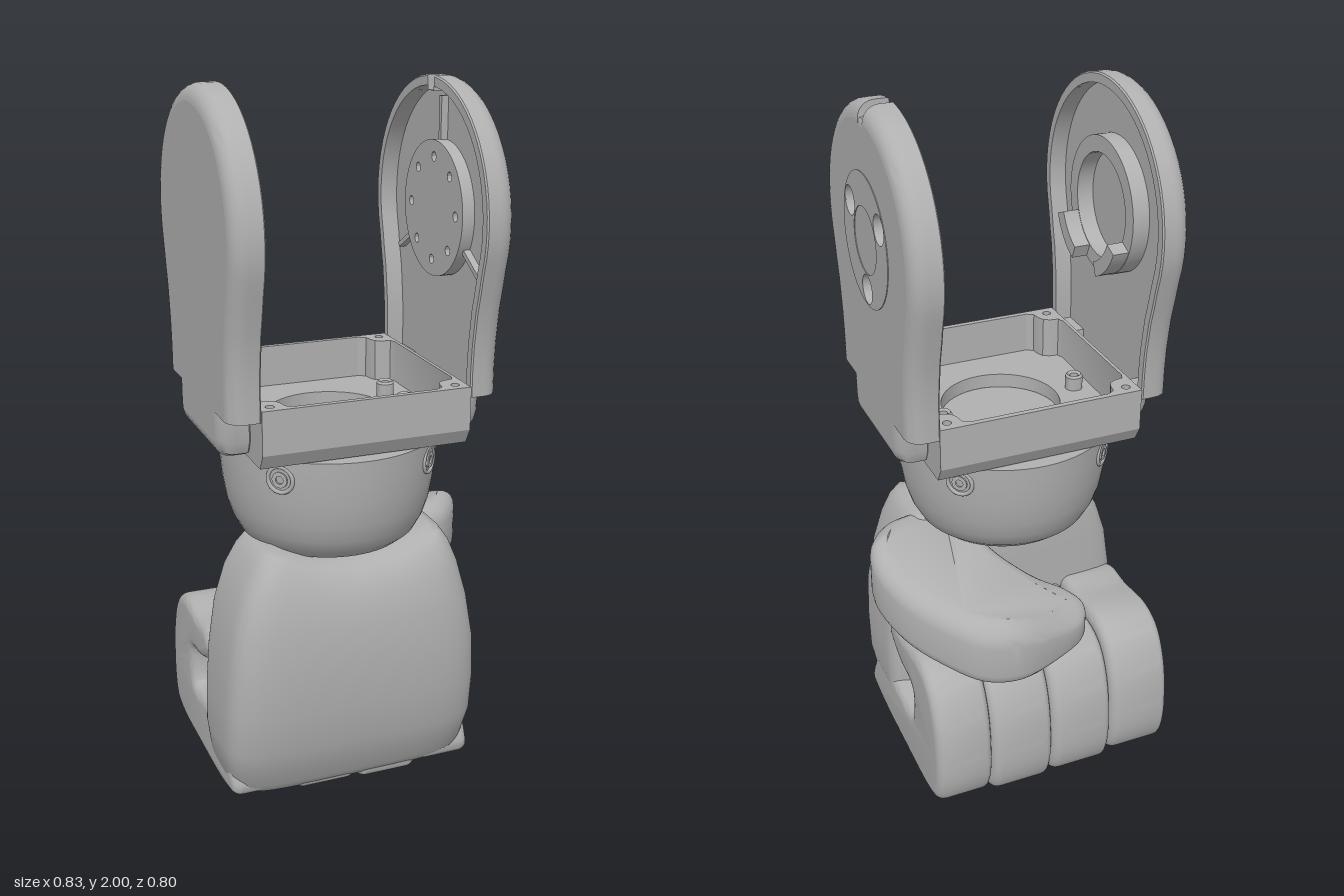
import * as THREE from 'three';
import { toCreasedNormals } from 'three/addons/utils/BufferGeometryUtils.js';

const grey = new THREE.MeshStandardMaterial({ color: 0xb0b0b0, side: THREE.DoubleSide });
grey.name = 'matte grey';

const V2 = (x, y) => new THREE.Vector2(x, y);

function add(parent, name, geometry, x = 0, y = 0, z = 0) {
  const mesh = new THREE.Mesh(geometry, grey);
  mesh.name = name;
  mesh.position.set(x, y, z);
  parent.add(mesh);
  return mesh;
}

// Closed skin through equal-sized rings of points
function loft(rings, crease = 0.7) {
  const n = rings[0].length, index = [];
  for (let i = 0; i < rings.length - 1; i++) {
    for (let j = 0; j < n; j++) {
      const a = i * n + j, b = i * n + (j + 1) % n;
      index.push(a, b, b + n, a, b + n, a + n);
    }
  }
  const g = new THREE.BufferGeometry().setFromPoints(rings.flat());
  g.setIndex(index);
  return toCreasedNormals(g, crease);
}

// Smooth closed outline through a few points
function smoothShape(points, count) {
  const curve = new THREE.CatmullRomCurve3(points.map(([x, y]) => new THREE.Vector3(x, y, 0)), true);
  return new THREE.Shape(curve.getPoints(count).slice(0, -1).map(p => V2(p.x, p.y)));
}

// Extrusion with rounded edges that keeps the outline and total depth
function roundedExtrude(shape, depth, r) {
  return new THREE.ExtrudeGeometry(shape, {
    depth: depth - 2 * r, bevelThickness: r, bevelSize: r, bevelOffset: -r, bevelSegments: 5, curveSegments: 24,
  }).translate(0, 0, r);
}

// Moves each vertex by a rule
function reshape(geometry, rule) {
  const pos = geometry.attributes.position, v = new THREE.Vector3();
  for (let i = 0; i < pos.count; i++) {
    rule(v.fromBufferAttribute(pos, i));
    pos.setXYZ(i, v.x, v.y, v.z);
  }
  return geometry;
}

function plain(shape, depth) {
  return toCreasedNormals(new THREE.ExtrudeGeometry(shape, { depth, bevelEnabled: false, curveSegments: 40 }), 0.5);
}

const circle = (x, y, r) => new THREE.Path().absarc(x, y, r, 0, Math.PI * 2, true);
function disc(r, holes = []) {
  const s = new THREE.Shape().absarc(0, 0, r, 0, Math.PI * 2);
  s.holes.push(...holes);
  return s;
}

const HUB = 1.645, SHOULDER = 1.19;
const SCREWS = [[-0.118, 0.07], [0.118, 0.07], [0, -0.135]];

// Keyhole outline of a fork arm, with the tab at its foot
function armOutline() {
  const half = [[0.15, 1.06], [0.185, 1.075], [0.2, 1.11], [0.2, SHOULDER], [0.293, SHOULDER], [0.293, 1.26],
    [0.297, 1.33], [0.31, 1.42], [0.324, 1.475], [0.335, 1.525]];
  for (let d = -12; d <= 84; d += 6) {
    const a = d * Math.PI / 180;
    half.push([0.355 * Math.cos(a), HUB + 0.355 * Math.sin(a)]);
  }
  for (const u of [0.021, 0.018]) half.push([u, HUB + Math.sqrt(0.355 ** 2 - u * u)]);
  return [...half, ...half.map(([u, v]) => [-u, v]).reverse()].map(([u, v]) => V2(u, v));
}

function buildArm(name, notched) {
  const arm = new THREE.Group();
  arm.name = name;
  const outline = armOutline(), n = outline.length;
  const normals = outline.map((p, i) => {
    const edge = (a, b) => V2(b.y - a.y, a.x - b.x).normalize();
    const n1 = edge(outline[(i + n - 1) % n], p), n2 = edge(p, outline[(i + 1) % n]);
    const mitre = n1.clone().add(n2).divideScalar(1 + n1.dot(n2));
    if (p.y === SHOULDER) mitre.y = 0; // shoulder stays flat
    return mitre;
  });
  const ring = (offset, w) => outline.map((p, i) => {
    const q = p.clone().addScaledVector(normals[i], -offset);
    const inNotch = notched && q.y > 1.85 && Math.abs(q.x) < 0.0195 * (q.y - HUB) / 0.355;
    return new THREE.Vector3(q.x, inNotch ? Math.min(q.y, 1.972) - 0.012 : q.y, w);
  });
  // Cavity wall, rim and rounded outer edge
  const profile = [[0.028, 0.05], [0.028, 0], [0.004, 0], [0, 0.004], [0, 0.04]];
  for (let i = 1; i <= 6; i++) {
    const a = i * Math.PI / 12;
    profile.push([0.045 * (1 - Math.cos(a)), 0.04 + 0.045 * Math.sin(a)]);
  }
  add(arm, name + 'Shell', loft(profile.map(([o, w]) => ring(o, w))));
  const cap = (o, holes) => {
    const s = new THREE.Shape(ring(o, 0).map(p => V2(p.x, p.y)));
    s.holes.push(...holes);
    return new THREE.ShapeGeometry(s, 24);
  };
  add(arm, name + 'CavityFloor', cap(0.028, []), 0, 0, 0.05);
  add(arm, name + 'OuterFace', cap(0.045, notched ? SCREWS.map(([u, v]) => circle(u, HUB + v, 0.04)) : []), 0, 0, 0.085);
  return arm;
}

export function createModel() {
  const model = new THREE.Group();
  model.name = 'gripperHand';

  // Back of the hand and palm: y, xMin, xMax, zBack, zFront, dip of the top edge under the wrist
  const sections = [
    [0.045, -0.3, 0.24, 0.06, 0.2, 0], [0.05, -0.37, 0.3, 0.02, 0.255, 0], [0.08, -0.395, 0.325, 0.005, 0.278, 0],
    [0.2, -0.41, 0.345, 0, 0.315, 0], [0.32, -0.408, 0.345, 0, 0.332, 0], [0.45, -0.398, 0.337, 0, 0.337, 0],
    [0.58, -0.378, 0.315, 0, 0.33, 0.01], [0.68, -0.345, 0.29, 0, 0.312, 0.035], [0.74, -0.31, 0.268, 0.005, 0.292, 0.055],
    [0.775, -0.28, 0.245, 0.015, 0.272, 0.065], [0.79, -0.245, 0.215, 0.04, 0.25, 0.065], [0.793, -0.1, 0.1, 0.13, 0.17, 0.065],
  ];
  const pow = (t, e) => Math.sign(t) * Math.abs(t) ** e;
  add(model, 'palm', loft(sections.map(([y, x0, x1, z0, z1, dip]) => Array.from({ length: 72 }, (_, i) => {
    const a = i / 72 * Math.PI * 2, e = Math.sin(a) > 0 ? 0.25 : 0.42; // squarer at the back
    const x = (x0 + x1) / 2 + (x1 - x0) / 2 * pow(Math.cos(a), e);
    return new THREE.Vector3(x, y - dip * Math.max(0, 1 - ((x + 0.02) / 0.24) ** 2),
      (z0 + z1) / 2 - (z1 - z0) / 2 * pow(Math.sin(a), e));
  })), 1.2));

  // Four curled fingers
  const curl = [[-0.26, 0.06], [-0.18, 0.03], [0.08, 0.018], [0.28, 0.022], [0.345, 0.045], [0.372, 0.1], [0.377, 0.2],
    [0.355, 0.33], [0.3, 0.425], [0.22, 0.462], [0.08, 0.452], [-0.02, 0.45], [-0.05, 0.4], [-0.01, 0.36],
    [0.06, 0.33], [0.135, 0.32], [0.148, 0.305], [0.142, 0.22], [0.13, 0.203], [0, 0.212], [-0.06, 0.218], [-0.17, 0.21]];
  const edges = [-0.397, -0.21, -0.02, 0.17, 0.34];
  [0.01, -0.008, -0.015, 0].forEach((dy, i) => {
    const g = roundedExtrude(smoothShape(curl, 110), edges[i + 1] - edges[i], 0.03).rotateY(Math.PI / 2);
    add(model, 'finger' + (i + 1), toCreasedNormals(g, 0.8), edges[i], dy, 0);
  });

  // Thumb bent across the fingers, sloping down to the back and thinning to its tip
  const plan = [[0.12, -0.1], [0.27, -0.1], [0.34, -0.07], [0.4, 0.01], [0.415, 0.085], [0.375, 0.2], [0.295, 0.3],
    [0.2, 0.378], [0.09, 0.4], [-0.05, 0.36], [-0.135, 0.315], [-0.155, 0.265], [-0.12, 0.215], [-0.02, 0.17],
    [0.06, 0.1], [0.09, 0]];
  const thumb = reshape(roundedExtrude(smoothShape(plan, 80), 0.195, 0.05).rotateX(-Math.PI / 2), v => {
    v.y *= 1 - 0.5 * THREE.MathUtils.smoothstep(-v.x, -0.14, 0.16);
    v.y += v.z < -0.02 ? 0.4 * (v.z + 0.02) : -0.1 * (v.z + 0.02);
  });
  add(model, 'thumb', toCreasedNormals(thumb, 0.8), 0, 0.585, 0);

  // Wrist cup with four screws
  const wrist = new THREE.Group();
  wrist.name = 'wrist';
  wrist.position.set(-0.03, 0, 0.045);
  model.add(wrist);
  const cup = [[0, 0.732], [0.1, 0.733], [0.18, 0.738], [0.22, 0.75], [0.25, 0.775], [0.272, 0.815], [0.288, 0.865],
    [0.299, 0.93], [0.305, 1], [0.308, 1.055], [0, 1.056]];
  add(wrist, 'wristCup', toCreasedNormals(new THREE.LatheGeometry(cup.map(p => V2(...p)), 64), 0.6));
  for (let i = 0; i < 4; i++) {
    const screw = new THREE.Group();
    screw.name = 'wristScrew' + (i + 1);
    screw.rotation.y = Math.PI / 4 + i * Math.PI / 2;
    wrist.add(screw);
    add(screw, 'screwRim', new THREE.TorusGeometry(0.036, 0.006, 8, 28), 0, 1, 0.303);
    add(screw, 'screwHead', plain(disc(0.022, [circle(0, 0, 0.011)]), 0.012), 0, 1, 0.297);
  }

  // Tray under the fork: walls with a stepped cavity, then a floor chamfered below
  const tray = new THREE.Group();
  tray.name = 'tray';
  tray.position.set(-0.025, 0, 0.045);
  model.add(tray);
  const rect = new THREE.Shape([V2(-0.292, -0.293), V2(0.292, -0.293), V2(0.292, 0.293), V2(-0.292, 0.293)]);
  const wall = rect.clone();
  const corner = [[0.282, 0.19], [0.275, 0.208], [0.25, 0.212], [0.232, 0.222], [0.224, 0.24], [0.22, 0.265], [0.2, 0.277]];
  const mirror = (sx, sy) => corner.map(([x, y]) => V2(x * sx, y * sy));
  wall.holes.push(new THREE.Path([...mirror(1, 1), ...mirror(-1, 1).reverse(), ...mirror(-1, -1), ...mirror(1, -1).reverse()]));
  for (const sx of [-1, 1]) for (const sz of [-1, 1]) wall.holes.push(circle(0.26 * sx, 0.26 * sz, 0.012));
  add(tray, 'trayWall', plain(wall, 0.12).rotateX(-Math.PI / 2), 0, 1.1, 0);
  const floor = rect.clone();
  floor.holes.push(circle(0, 0, 0.17));
  const floorPlate = reshape(plain(floor, 0.042), v => {
    if (v.z < 0.01 && Math.abs(v.y) > 0.28) v.y *= 0.92;
  });
  floorPlate.computeVertexNormals();
  add(tray, 'trayFloor', floorPlate.rotateX(-Math.PI / 2), 0, 1.058, 0);
  const post = [[0.012, 0], [0.012, 0.04], [0.02, 0.045], [0.025, 0.038], [0.025, 0]].map(p => V2(...p));
  for (const [x, z] of [[-0.23, 0], [0.2, -0.07], [0.2, 0.067]]) {
    add(tray, 'trayPost', toCreasedNormals(new THREE.LatheGeometry(post, 24), 0.6), x, 1.1, z);
  }

  // Left fork arm: screw wells, outer inlay, inner disc and ribs
  const left = buildArm('leftArm', true);
  left.position.set(0.265, 0, 0.045);
  left.rotation.y = Math.PI / 2;
  model.add(left);
  add(left, 'hubInlay', plain(disc(0.18, [circle(0, 0, 0.09), ...SCREWS.map(([u, v]) => circle(u, v, 0.04))]), 0.004), 0, HUB, 0.083);
  for (const [u, v] of SCREWS) {
    add(left, 'screwWell', new THREE.CylinderGeometry(0.04, 0.04, 0.03, 28, 1, true).rotateX(Math.PI / 2), u, HUB + v, 0.07);
    add(left, 'screwSeat', plain(disc(0.04, [circle(0, 0, 0.016)]), 0.006), u, HUB + v, 0.056);
  }
  const bolts = Array.from({ length: 8 }, (_, i) => circle(0.14 * Math.cos(i * Math.PI / 4), 0.14 * Math.sin(i * Math.PI / 4), 0.013));
  add(left, 'hubDisc', plain(disc(0.185, bolts), 0.035), 0, HUB, 0.014);
  for (const a of [Math.PI / 2, -Math.PI / 6, Math.PI * 7 / 6]) {
    const rib = add(left, 'hubRib', new THREE.BoxGeometry(0.12, 0.014, 0.02), 0.24 * Math.cos(a), HUB + 0.24 * Math.sin(a), 0.04);
    rib.rotation.z = a;
  }

  // Right fork arm: bearing ring with two protruding jaws
  const right = buildArm('rightArm', false);
  right.position.set(-0.318, 0, 0.045);
  right.rotation.y = -Math.PI / 2;
  model.add(right);
  add(right, 'bearingRing', plain(disc(0.19, [circle(0, 0, 0.145)]), 0.05), 0, HUB, 0.002);
  for (const deg of [203, 293]) {
    const a = deg * Math.PI / 180, b = a + 44 * Math.PI / 180;
    const jaw = new THREE.Shape().absarc(0, 0, 0.188, a, b, false).absarc(0, 0, 0.147, b, a, true);
    add(right, 'bearingJaw', plain(jaw, 0.06), 0, HUB, -0.044);
  }
  return model;
}
